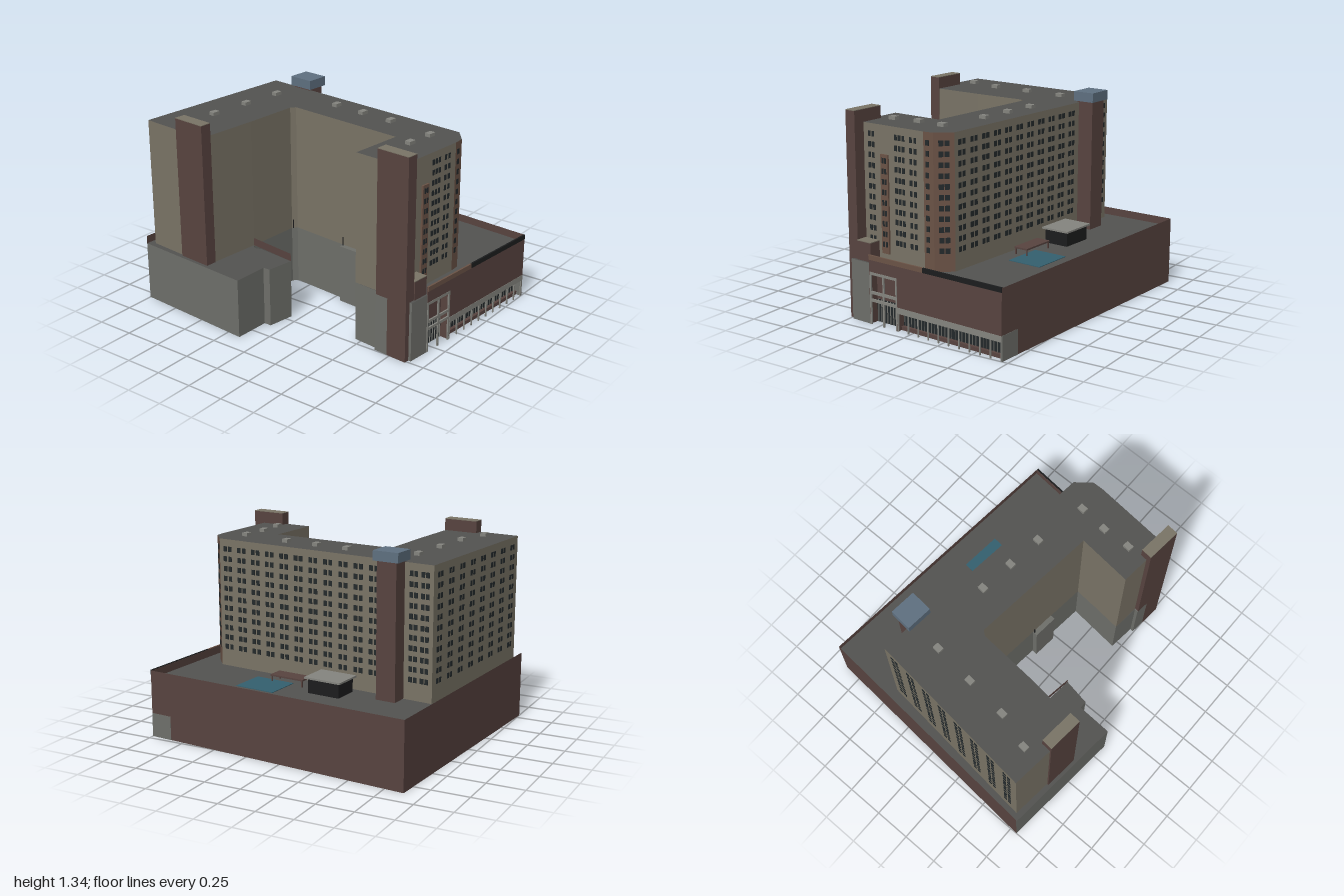
import * as THREE from 'three';
import { mergeGeometries } from 'three/addons/utils/BufferGeometryUtils.js';

const TURN = 0.085; // the whole plan is turned a little about y
const COLORS = {
  beige: 0x7a7466, brown: 0x584440, tan: 0x6b5346, grey: 0x6e6f6a, roof: 0x535351,
  glass: 0x23292b, black: 0x1c1d1e, blue: 0x5f7080, pool: 0x34606f, frame: 0x85857f,
};
const mats = {};
for (const k in COLORS) {
  mats[k] = new THREE.MeshStandardMaterial({ color: COLORS[k], side: THREE.DoubleSide, flatShading: true });
}

export function createModel() {
  const root = new THREE.Group();
  root.name = 'building';
  const turned = new THREE.Group(); // local u, v axes run along the walls
  turned.name = 'alignedParts';
  turned.rotation.y = -TURN;
  root.add(turned);

  const add = (parent, name, geo, color) => {
    const m = new THREE.Mesh(geo, mats[color]);
    m.name = name;
    parent.add(m);
    return m;
  };
  // box centred on (u, v), reaching from y0 to y1
  const box = (name, color, u, v, w, d, y0, y1) => {
    const g = new THREE.BoxGeometry(w, y1 - y0, d);
    g.translate(u, (y0 + y1) / 2, v);
    return add(turned, name, g, color);
  };
  // upright wall between two plan points
  const wall = (name, color, [ax, az], [bx, bz], y0, y1) => {
    const g = new THREE.PlaneGeometry(Math.hypot(bx - ax, bz - az), y1 - y0);
    g.rotateY(-Math.atan2(bz - az, bx - ax));
    g.translate((ax + bx) / 2, (y0 + y1) / 2, (az + bz) / 2);
    return add(root, name, g, color);
  };
  const slab = (name, color, pts, y) => {
    const g = new THREE.ShapeGeometry(new THREE.Shape(pts.map(p => new THREE.Vector2(...p))));
    g.rotateX(Math.PI / 2).translate(0, y, 0);
    return add(root, name, g, color);
  };

  // Podium: open-bottomed shell around a front courtyard
  const podium = [
    [-0.88, -0.87], [1, -0.71], [0.91, 0.33], [0.895, 0.48], [0.64, 0.47], [0.455, 0.45], [0.49, 0.085],
    [-0.36, 0], [-0.385, 0.03], [-0.41, 0.4], [-0.38, 0.435], [-0.33, 0.42], [-0.06, 0.45],
    [-0.09, 0.63], [-0.14, 0.63], [-0.15, 0.87], [-1, 0.8],
  ];
  slab('podiumRoof', 'roof', podium, 0.398);
  podium.forEach((p, i) => {
    const q = podium[(i + 1) % podium.length];
    if (i === 1) return; // street side is built below
    const brown = i === 0 || i === podium.length - 1;
    wall('podiumWall', brown ? 'brown' : 'grey', p, q, 0, brown ? 0.45 : 0.398);
  });
  wall('courtParapet', 'brown', [-0.41, 0.4], [-0.06, 0.45], 0.398, 0.45);
  box('courtPier', 'grey', 0.15, 0.057, 0.17, 0.035, 0, 0.4);
  box('courtPost', 'black', 0.07, 0.05, 0.006, 0.006, 0.4, 0.46);
  box('courtPost', 'black', -0.37, 0.06, 0.006, 0.006, 0.4, 0.46);
  box('cornerPanel', 'grey', 0.86, -0.79, 0.152, 0.008, 0, 0.16);

  // Street side: upper wall, recessed shopfront and entrance
  const U = 0.932;
  box('streetWall', 'brown', U, -0.385, 0.01, 0.81, 0.155, 0.45);
  box('streetWall', 'brown', U, 0.135, 0.01, 0.23, 0.345, 0.45);
  box('parapetTrim', 'black', U + 0.003, -0.49, 0.012, 0.6, 0.422, 0.453);
  box('parapetTrim', 'tan', U + 0.003, 0.03, 0.012, 0.44, 0.422, 0.453);
  box('shopGlass', 'glass', 0.875, -0.385, 0.008, 0.81, 0, 0.155);
  box('shopSoffit', 'black', 0.904, -0.385, 0.06, 0.81, 0.152, 0.158);
  box('shopFascia', 'frame', U, -0.385, 0.014, 0.81, 0.118, 0.157);
  box('shopSill', 'brown', 0.885, -0.385, 0.03, 0.81, 0, 0.025);
  for (let i = 0; i <= 10; i++) {
    const v = -0.785 + i * 0.08;
    box('shopPost', 'frame', U, v, 0.008, 0.008, 0, 0.12);
    box('shopBeam', 'frame', 0.904, v, 0.056, 0.012, 0.135, 0.152);
  }
  for (let i = 0; i < 30; i++) box('shopMullion', 'grey', 0.88, -0.77 + i * 0.0268, 0.006, 0.003, 0.025, 0.12);
  box('shopRail', 'grey', 0.88, -0.385, 0.008, 0.8, 0.1, 0.106);

  box('entranceWall', 'brown', 0.865, 0.135, 0.008, 0.23, 0.15, 0.345);
  box('entranceGlass', 'glass', 0.866, 0.135, 0.008, 0.23, 0, 0.15);
  box('entranceSoffit', 'brown', 0.9, 0.135, 0.07, 0.23, 0.343, 0.348);
  box('entranceCheek', 'brown', 0.9, 0.022, 0.07, 0.006, 0, 0.345);
  for (const v of [0.028, 0.135, 0.242]) box('entrancePost', 'frame', U, v, 0.01, 0.012, 0, 0.345);
  for (const y of [0.15, 0.2, 0.325]) box('entranceBeam', 'frame', U, 0.135, 0.01, 0.226, y, y + 0.018);
  for (let i = 0; i < 9; i++) box('entranceMullion', 'frame', 0.872, 0.035 + i * 0.025, 0.006, 0.004, 0, 0.15);

  // Tower: U-shaped block above the podium
  const tower = [
    [-0.84, -0.38], [0.76, -0.22], [0.84, -0.12], [0.842, -0.05], [0.8, 0.45], [0.64, 0.465], [0.455, 0.45],
    [0.49, 0.085], [-0.36, 0], [-0.385, 0.03], [-0.41, 0.4], [-0.45, 0.815], [-0.955, 0.765],
  ];
  slab('towerRoof', 'roof', tower, 1.26);
  tower.forEach((p, i) => {
    wall('towerWall', i === 1 || i === 2 ? 'tan' : 'beige', p, tower[(i + 1) % tower.length], 0.39, 1.26);
  });

  // Windows: eleven floors of panes at given fractions along a wall
  const windows = ([ax, az], [bx, bz], fractions, width, floors = 11) => {
    const panes = [];
    for (let f = 0; f < floors; f++) for (const t of fractions) {
      const g = new THREE.BoxGeometry(width, 0.034, 0.006);
      g.rotateY(-Math.atan2(bz - az, bx - ax));
      g.translate(ax + (bx - ax) * t, 0.53 + f * 0.0665, az + (bz - az) * t);
      panes.push(g);
    }
    add(root, 'windows', mergeGeometries(panes), 'glass');
  };
  const pairs = (n, start, end, gap) => Array.from({ length: n }, (_, i) => {
    const t = start + (end - start) * i / (n - 1);
    return [t - gap, t + gap];
  }).flat();
  windows(tower[0], tower[1], pairs(11, 0.26, 0.96, 0.012), 0.026);
  windows(tower[0], tower[1], pairs(2, 0.035, 0.085, 0.01), 0.024);
  windows(tower[12], tower[0], pairs(8, 0.07, 0.93, 0.016), 0.024);
  windows(tower[1], tower[2], [0.36, 0.64], 0.03);
  windows(tower[2], tower[3], [0.6], 0.024);
  windows(tower[3], tower[4], [0.13, 0.2, 0.32, 0.38, 0.44, 0.81, 0.87], 0.02);
  // slim bay on the street face
  box('bay', 'tan', 0.845, 0.185, 0.012, 0.06, 0.45, 1.08);
  const bayPanes = [];
  for (let f = 0; f < 9; f++) for (const s of [-1, 1]) {
    bayPanes.push(new THREE.BoxGeometry(0.016, 0.034, 0.014).translate(0.846, 0.51 + f * 0.0665, 0.185 + s * 0.011));
  }
  add(turned, 'bayWindows', mergeGeometries(bayPanes), 'glass');

  // Brick shafts with pale tops
  const shaft = (u, v, y0) => {
    box('shaft', 'brown', u, v, 0.235, 0.075, y0, 1.338);
    box('shaftTop', 'beige', u, v, 0.235, 0.075, 1.338, 1.342);
  };
  shaft(-0.492, 0.82, 0.39);
  shaft(0.797, 0.4, 0.39);
  box('shaftBase', 'brown', 0.842, 0.4, 0.145, 0.075, 0, 0.4);
  box('shaftBaseWing', 'grey', 0.722, 0.4, 0.095, 0.073, 0, 0.4);
  box('sidePier', 'brown', 0.88, 0.305, 0.082, 0.115, 0, 0.52);
  box('sidePierTop', 'beige', 0.88, 0.305, 0.082, 0.115, 0.52, 0.525);

  // Rear stair tower with its cap
  box('stairTower', 'brown', -0.602, -0.35, 0.135, 0.12, 0.39, 1.275);
  box('stairCap', 'blue', -0.602, -0.35, 0.175, 0.15, 1.272, 1.335);

  // Terrace: pavilion, pergola and pool
  box('pavilion', 'black', -0.218, -0.433, 0.225, 0.17, 0.398, 0.492);
  box('pavilionRoof', 'frame', -0.218, -0.433, 0.26, 0.2, 0.492, 0.504);
  box('pergolaRoof', 'brown', 0.107, -0.395, 0.245, 0.1, 0.438, 0.449);
  for (const su of [-1, 1]) for (const sv of [-1, 1]) {
    box('pergolaPost', 'brown', 0.107 + su * 0.115, -0.395 + sv * 0.043, 0.008, 0.008, 0.398, 0.44);
  }
  box('pool', 'pool', 0.222, -0.52, 0.28, 0.235, 0.397, 0.402);

  // Roof vents, given in plan coordinates
  const vents = [[-0.63, -0.13], [-0.66, 0.15], [-0.69, 0.43], [-0.76, 0.66], [-0.16, -0.18],
    [0.07, -0.155], [0.305, -0.13], [0.65, -0.055], [0.63, 0.135], [0.635, 0.325]];
  const c = Math.cos(TURN), s = Math.sin(TURN);
  for (const [x, z] of vents) box('roofVent', 'frame', x * c + z * s, z * c - x * s, 0.04, 0.052, 1.26, 1.282);

  return root;
}
